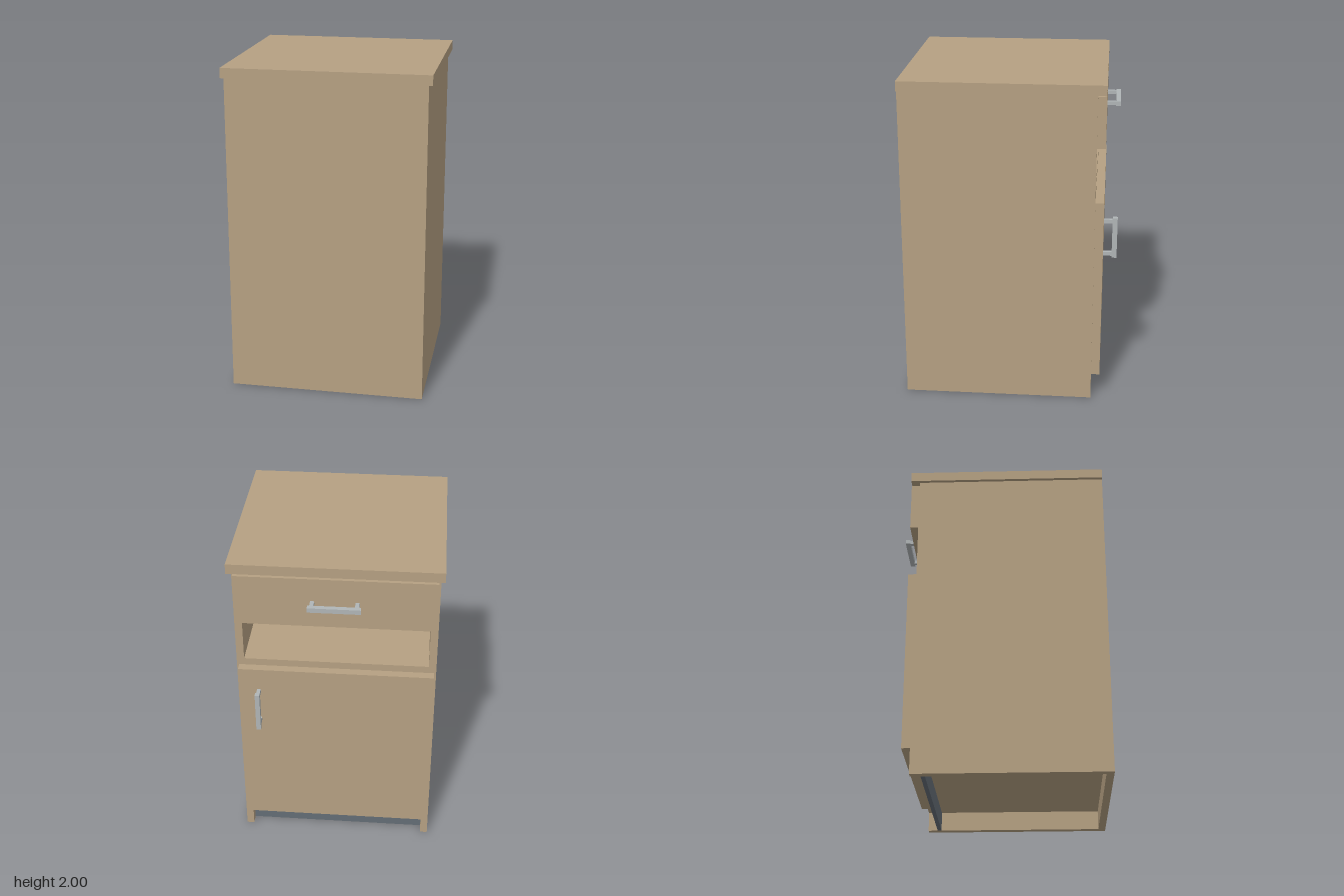
import * as THREE from 'three';

export function createModel() {
  const root = new THREE.Group();
  root.name = 'cabinet';
  const material = (name, color) => {
    const m = new THREE.MeshStandardMaterial({ color });
    m.name = name;
    return m;
  };
  const wood = material('tan wood', 0xb5a082);
  const plinth = material('slate plinth', 0x646d75);
  const metal = material('grey metal', 0xb0b5b6);

  // Box given by its extents along each axis
  const box = (name, mat, [x0, x1], [y0, y1], [z0, z1], parent = root) => {
    const mesh = new THREE.Mesh(new THREE.BoxGeometry(x1 - x0, y1 - y0, z1 - z0), mat);
    mesh.position.set((x0 + x1) / 2, (y0 + y1) / 2, (z0 + z1) / 2);
    mesh.name = name;
    parent.add(mesh);
    return mesh;
  };

  const W = 0.593, T = 0.045, FRONT = -0.51, BACK = 0.642, FACE = -0.562;
  const inner = [-W + T, W - T];
  const depth = [FRONT, BACK - T];

  // Carcass: sides, back, worktop and horizontal boards
  box('leftSide', wood, [W - T, W], [0, 1.94], [FRONT, BACK]);
  box('rightSide', wood, [-W, -W + T], [0, 1.94], [FRONT, BACK]);
  box('backPanel', wood, inner, [0, 1.94], [BACK - T, BACK]);
  box('worktop', wood, [-0.615, 0.615], [1.94, 2], [FACE, BACK]);
  box('nicheCeiling', wood, inner, [1.58, 1.63], depth);
  box('nicheFloor', wood, inner, [1.28, 1.33], depth);
  box('bottomBoard', wood, inner, [0.12, 0.167], depth);
  box('kickPlate', plinth, inner, [0, 0.12], [-0.45, -0.425]);

  // Drawer and door fronts stand proud of the carcass
  box('drawerFront', wood, [-0.58, 0.58], [1.62, 1.927], [FACE, FRONT]);
  box('door', wood, [-0.58, 0.58], [0.158, 1.286], [FACE, FRONT]);

  // Bar handle on two posts, built along x
  const handle = (name, length) => {
    const g = new THREE.Group();
    g.name = name;
    const h = length / 2;
    box('handleBar', metal, [-h, h], [-0.014, 0.014], [-0.082, -0.052], g);
    for (const s of [-1, 1]) {
      const c = s * (h - 0.023);
      box('handlePost', metal, [c - 0.012, c + 0.012], [-0.011, 0.011], [-0.052, 0], g);
    }
    root.add(g);
    return g;
  };
  handle('drawerHandle', 0.304).position.set(0, 1.773, FACE);
  const doorHandle = handle('doorHandle', 0.255);
  doorHandle.position.set(0.46, 1.028, FACE);
  doorHandle.rotation.z = Math.PI / 2;

  return root;
}
